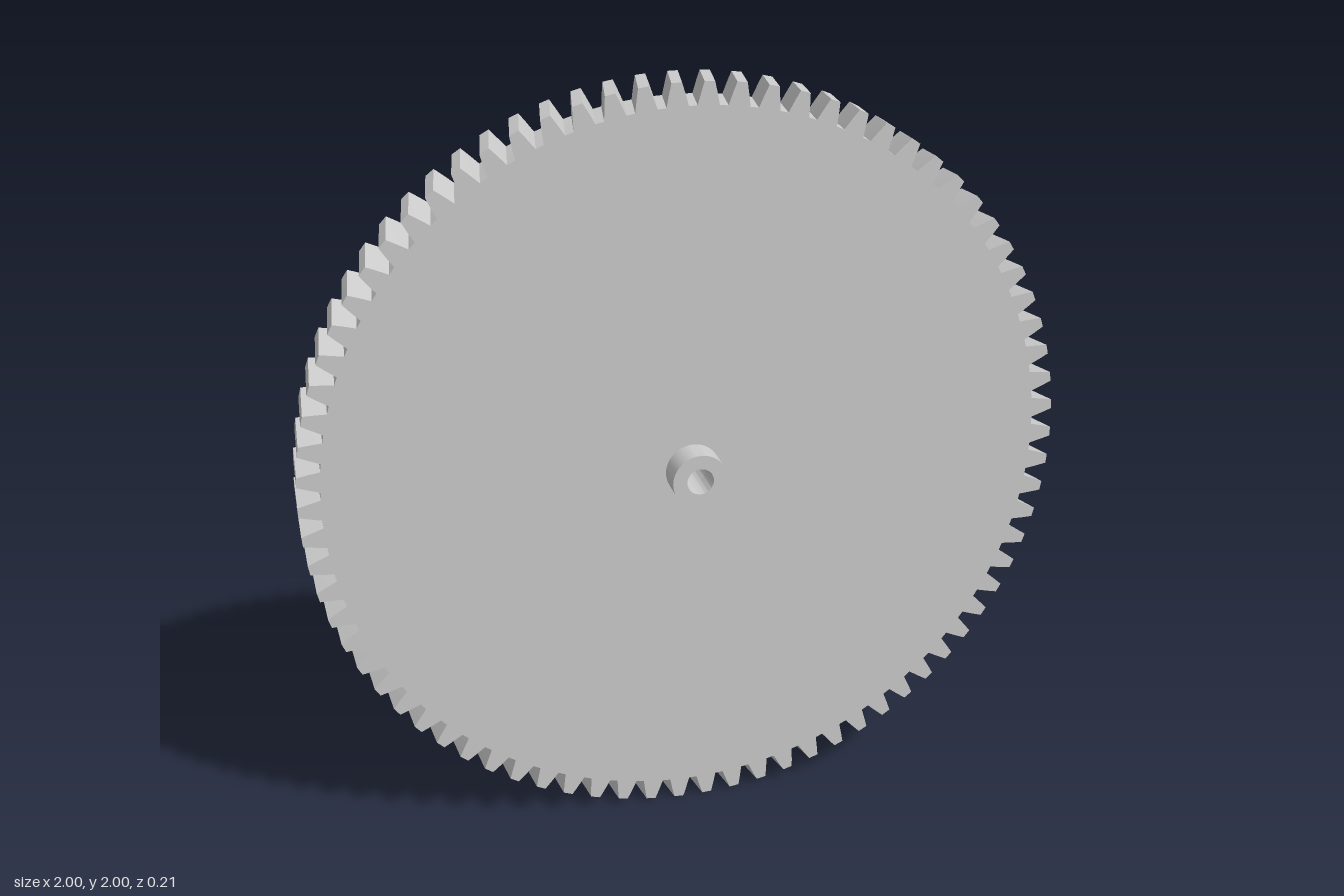
import * as THREE from 'three';
import { toCreasedNormals } from 'three/addons/utils/BufferGeometryUtils.js';

const TEETH = 78, TIP = 1, PITCH = 0.975, ROOT = 0.943;
const BACK = -0.105, FACE = 0.03, HUB_END = 0.105;
const BORE = 0.035, HUB = 0.072, TWIST = 0.024;

const material = new THREE.MeshStandardMaterial({ color: 0xcccccc });

function addBore(shape) {
  shape.holes.push(new THREE.Path().absarc(0, 0, BORE, 0, Math.PI * 2, true));
  return shape;
}

// Outline of the toothed wheel; each tooth is [angle in tooth pitches, radius]
function gearShape() {
  const tooth = [[-0.36, ROOT], [-0.25, PITCH], [-0.16, TIP], [0.16, TIP], [0.25, PITCH], [0.36, ROOT]];
  const points = [];
  for (let i = 0; i < TEETH; i++) {
    for (const [offset, r] of tooth) {
      const a = ((i + offset) / TEETH) * Math.PI * 2;
      points.push(new THREE.Vector2(r * Math.cos(a), r * Math.sin(a)));
    }
  }
  return addBore(new THREE.Shape(points));
}

function extrude(shape, z0, z1, steps) {
  const geometry = new THREE.ExtrudeGeometry(shape, { depth: z1 - z0, steps, bevelEnabled: false, curveSegments: 24 });
  return geometry.translate(0, 0, z0);
}

// Turn each slice about the axle so the teeth run helically
function twist(geometry) {
  const p = geometry.attributes.position;
  const v = new THREE.Vector3(), axis = new THREE.Vector3(0, 0, 1);
  for (let i = 0; i < p.count; i++) {
    v.fromBufferAttribute(p, i);
    v.applyAxisAngle(axis, (TWIST * (v.z - FACE)) / (FACE - BACK));
    p.setXYZ(i, v.x, v.y, v.z);
  }
  return geometry;
}

export function createModel() {
  const group = new THREE.Group();
  group.name = 'helicalGear';
  const add = (name, geometry) => {
    const mesh = new THREE.Mesh(toCreasedNormals(geometry, 0.35), material);
    mesh.name = name;
    mesh.position.y = 1;
    group.add(mesh);
  };

  // Toothed wheel with axle bore
  add('toothedWheel', twist(extrude(gearShape(), BACK, FACE, 3)));

  // Short hub collar on the front
  const collar = new THREE.Shape().absarc(0, 0, HUB, 0, Math.PI * 2, false);
  add('hub', extrude(addBore(collar), FACE, HUB_END, 1));

  return group;
}
